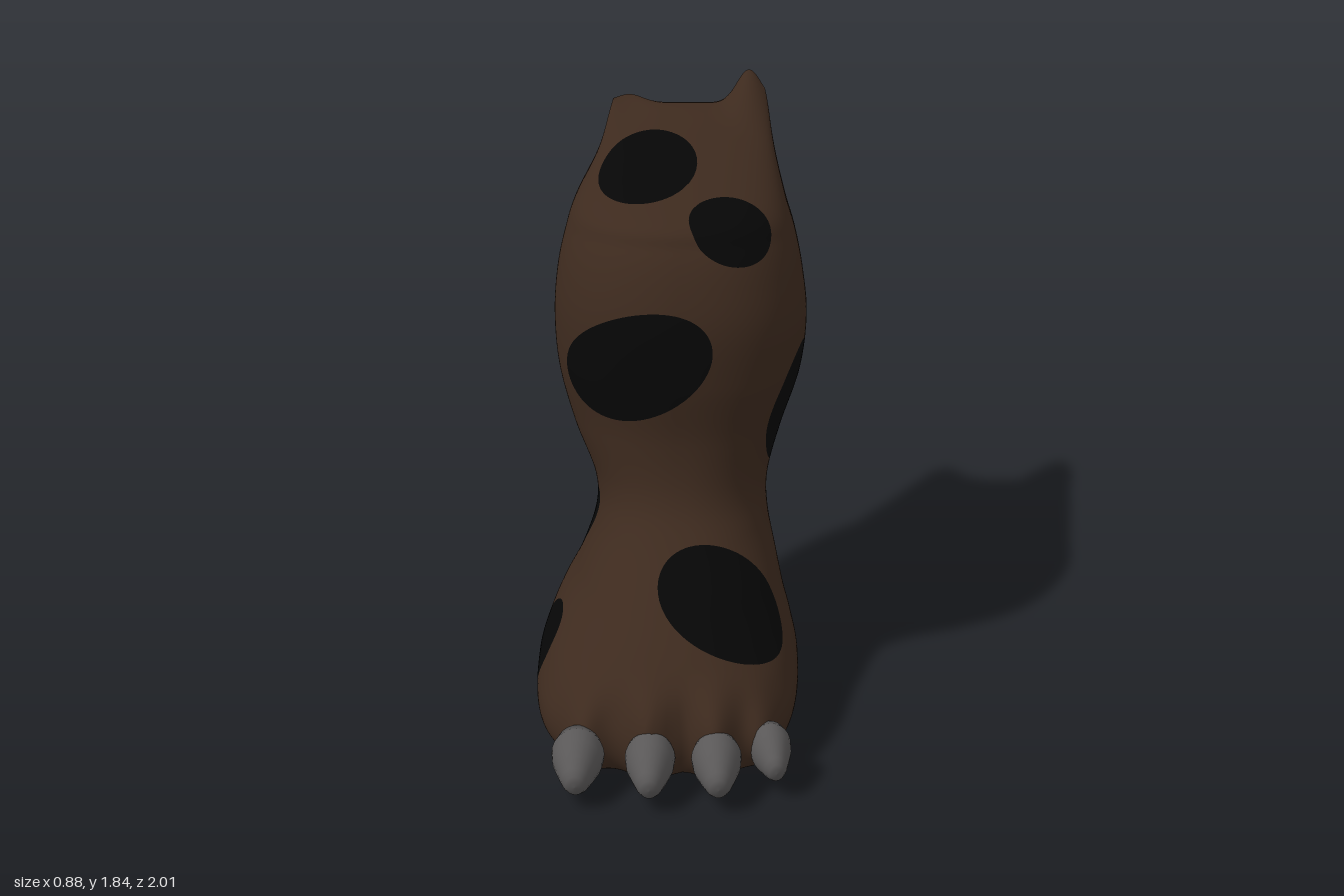
import * as THREE from 'three';

const skin = new THREE.MeshStandardMaterial({ color: 0x3d2a1e });
skin.name = 'brown hide';
const patch = new THREE.MeshStandardMaterial({ color: 0x060606 });
patch.name = 'black patches';
const horn = new THREE.MeshStandardMaterial({ color: 0x5a5858 });
horn.name = 'grey claw';

// Tilted cross-sections from sole to upper rim:
// front y, front z, back y, back z, min x, max x
const RINGS = [
  [0.02, 0.30, 0.03, 0.10, 0, 0],
  [0.00, 0.66, 0.045, -0.20, -0.30, 0.30],
  [0.02, 0.77, 0.06, -0.28, -0.37, 0.36],
  [0.08, 0.82, 0.11, -0.345, -0.43, 0.40],
  [0.17, 0.825, 0.19, -0.385, -0.44, 0.415],
  [0.27, 0.78, 0.28, -0.415, -0.41, 0.395],
  [0.35, 0.69, 0.36, -0.43, -0.37, 0.37],
  [0.46, 0.53, 0.45, -0.43, -0.31, 0.345],
  [0.60, 0.33, 0.57, -0.445, -0.26, 0.315],
  [0.72, 0.23, 0.68, -0.48, -0.265, 0.315],
  [0.90, 0.195, 0.82, -0.56, -0.335, 0.36],
  [1.10, 0.21, 0.98, -0.635, -0.385, 0.42],
  [1.28, 0.208, 1.14, -0.70, -0.40, 0.44],
  [1.42, 0.17, 1.30, -0.735, -0.39, 0.425],
  [1.53, 0.11, 1.42, -0.775, -0.365, 0.40],
  [1.61, 0.02, 1.51, -0.82, -0.335, 0.37],
  [1.70, -0.38, 1.62, -0.865, -0.265, 0.335],
  [1.755, -0.75, 1.69, -0.875, -0.235, 0.315],
  [1.75, -0.855, 1.75, -0.855, -0.225, 0.305],
];

// Patches: centre x y z, radii x y z, slope of y along x, slope of z along y
const PATCHES = [
  [-0.12, 1.16, 0.15, 0.25, 0.18, 0.45, 0.25, 0],
  [-0.09, 1.65, -0.35, 0.165, 0.30, 0.265, 0, 0],
  [0.185, 1.58, 0.005, 0.14, 0.14, 0.15, 0, 0],
  [0.175, 0.46, 0.455, 0.22, 0.17, 0.235, -0.3, 0],
  [0.40, 0.96, -0.08, 0.30, 0.21, 0.155, 0, 0],
  [0.36, 1.37, -0.50, 0.30, 0.17, 0.195, 0, 0],
  [0.14, 0.51, -0.38, 0.31, 0.235, 0.31, 0, 0],
  [-0.20, 1.435, -0.70, 0.22, 0.19, 0.24, 0, 0],
  [-0.19, 0.88, -0.54, 0.18, 0.11, 0.20, 0, 0],
  [-0.30, 0.45, -0.15, 0.30, 0.22, 0.13, 0, 0.6],
  [-0.42, 0.22, 0.26, 0.20, 0.15, 0.165, 0, 0],
];

// Claws: x, base z, length, width scale, sideways turn
const CLAWS = [
  [-0.285, 0.78, 0.20, 1.0, -0.02],
  [-0.06, 0.80, 0.20, 0.95, 0],
  [0.145, 0.80, 0.195, 0.95, 0.05],
  [0.31, 0.73, 0.17, 0.8, 0.15],
];

const smooth = THREE.MathUtils.smoothstep;
const bump = (x, c, w) => Math.exp(-(((x - c) / w) ** 2));
const power = (v, p) => Math.sign(v) * Math.abs(v) ** (2 / p);

// Smooth interpolation of one column through the rings
function sample(t, k) {
  const i = Math.min(Math.floor(t), RINGS.length - 2), f = t - i;
  const at = (j) => RINGS[THREE.MathUtils.clamp(j, 0, RINGS.length - 1)][k];
  const [a, b, c, d] = [at(i - 1), at(i), at(i + 1), at(i + 2)];
  return b + 0.5 * f * (c - a + f * (2 * a - 5 * b + 4 * c - d + f * (3 * (b - c) + d - a)));
}

// Negative inside a patch
function patchField(px, py, pz) {
  return Math.min(...PATCHES.map(([x, y, z, rx, ry, rz, sx, sz]) => {
    const dx = px - x, dy = py - y - sx * dx, dz = pz - z - sz * dy;
    return Math.hypot(dx / rx, dy / ry, dz / rz) - 1;
  }));
}

// Leg and foot as one loft, with toe bulges and two rear points
function legGeometry() {
  const rows = 180, cols = 180, pos = [], field = [];
  const addPoint = (x, y, z) => {
    pos.push(x, y, z);
    return field.push(patchField(x, y, z)) - 1;
  };
  for (let r = 0; r <= rows; r++) {
    const t = (r / rows) * (RINGS.length - 1);
    const [yf, zf, yb, zb, xl, xr] = RINGS[0].map((_, k) => sample(t, k));
    // squarer at the toes, at the upper back and along the left side of the calf
    const frontPower = 3.2 - 1.05 * smooth(yf, 0.1, 0.45);
    const backPower = 2.1 + 1.2 * smooth(yb, 1.28, 1.65);
    const calf = smooth(yf, 0.7, 1.0);
    for (let c = 0; c < cols; c++) {
      const a = (c / cols) * Math.PI * 2, s = Math.sin(a), q = Math.cos(a);
      const p = (s > 0 ? frontPower : backPower) + calf * (q > 0 ? 0.3 : -0.1);
      const x = (xl + xr) / 2 + ((xr - xl) / 2) * power(q, p);
      const d = power(s, p);
      let z = (zf + zb) / 2 + ((zf - zb) / 2) * d;
      let y = (yf + yb) / 2 + ((yf - yb) / 2) * d;
      // toes
      const toe = smooth(z, 0.6, 0.8) * (1 - smooth(y, 0.2, 0.4));
      z += toe * (0.075 * CLAWS.reduce((m, k) => m + bump(x, k[0], 0.065), 0) - 0.025);
      // rear points
      const rear = smooth(-z, 0.55, 0.86) * smooth(y, 1.25, 1.72);
      const left = bump(x, 0.25, 0.06) * rear, right = bump(x, -0.17, 0.065) * rear;
      z -= 0.145 * left + 0.105 * right;
      y += 0.08 * left + 0.01 * rear;
      addPoint(x, Math.max(y, 0), z);
    }
  }
  // triangles are split along the patch outlines
  const plain = [], dark = [], cuts = new Map();
  const cut = (i, j) => {
    const [a, b] = i < j ? [i, j] : [j, i], key = `${a},${b}`;
    if (!cuts.has(key)) {
      const t = field[a] / (field[a] - field[b]);
      cuts.set(key, addPoint(...[0, 1, 2].map((k) => THREE.MathUtils.lerp(pos[a * 3 + k], pos[b * 3 + k], t))));
    }
    return cuts.get(key);
  };
  const tri = (...ids) => {
    const inside = ids.map((i) => field[i] < 0);
    const odd = inside.findIndex((v) => inside.filter((w) => w === v).length === 1);
    if (odd < 0) {
      (inside[0] ? dark : plain).push(...ids);
      return;
    }
    const [p, q, r] = [0, 1, 2].map((k) => ids[(odd + k) % 3]);
    const m = cut(p, q), n = cut(p, r);
    (inside[odd] ? dark : plain).push(p, m, n);
    (inside[odd] ? plain : dark).push(m, q, r, m, r, n);
  };
  for (let r = 0; r < rows; r++) {
    for (let c = 0; c < cols; c++) {
      const n = (c + 1) % cols;
      const a = r * cols + c, b = r * cols + n, e = a + cols, f = b + cols;
      tri(a, e, b);
      tri(b, e, f);
    }
  }
  const g = new THREE.BufferGeometry();
  g.setAttribute('position', new THREE.Float32BufferAttribute(pos, 3));
  g.setIndex([...plain, ...dark]);
  g.addGroup(0, plain.length, 0);
  g.addGroup(plain.length, dark.length, 1);
  g.computeVertexNormals();
  return g;
}

// Blunt claw pointing along +z, unit length
function clawGeometry() {
  const profile = [[0, 0], [0.07, 0], [0.083, 0.2], [0.078, 0.4], [0.06, 0.65], [0.044, 0.85], [0.03, 0.96], [0.015, 0.99], [0, 1]];
  const g = new THREE.LatheGeometry(profile.map(([r, h]) => new THREE.Vector2(r, h)), 24);
  return g.rotateX(Math.PI / 2);
}

export function createModel() {
  const model = new THREE.Group();
  model.name = 'clawedFoot';
  const leg = new THREE.Mesh(legGeometry(), [skin, patch]);
  leg.name = 'legAndFoot';
  model.add(leg);

  const geometry = clawGeometry();
  CLAWS.forEach(([x, z, length, width, turn], i) => {
    const claw = new THREE.Mesh(geometry, horn);
    claw.name = `claw${i + 1}`;
    claw.position.set(x, 0.125, z);
    claw.scale.set(width, 1.2 * Math.sqrt(width), length);
    claw.rotation.set(0.2, turn, 0);
    model.add(claw);
  });
  return model;
}
